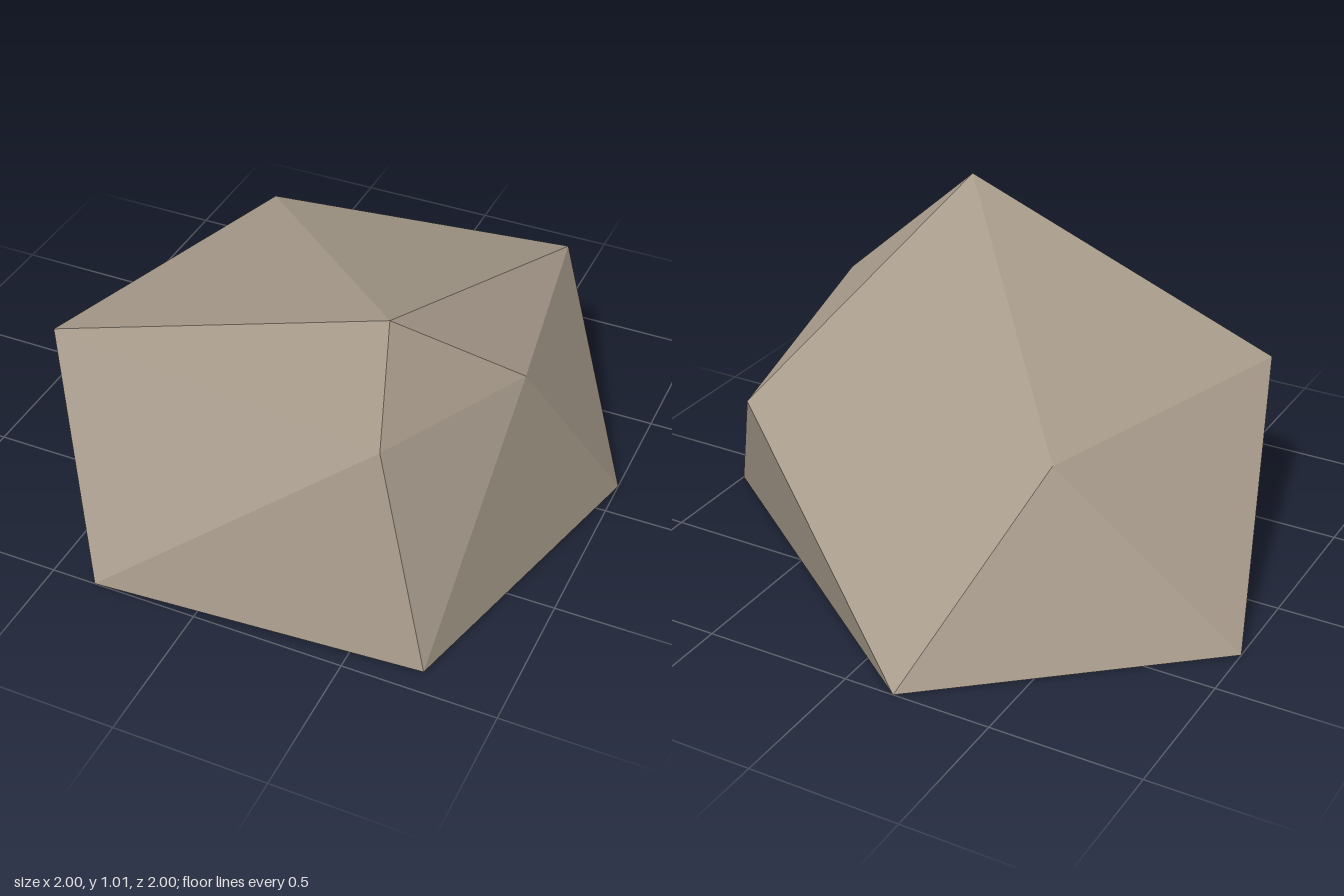
import * as THREE from 'three';

// Corners of the boulder: a ring on the ground and the raised corners
const corners = {
  // ground ring
  A: [-1.0, 0, -0.3], B: [-0.17, 0, -1.0], C: [1.0, 0, -0.135], D: [0.735, 0, 0.92], E: [-0.35, 0, 1.0],
  // shoulders
  P: [-0.71, 0.59, 0.56], R: [0.535, 0.7, 0.815], S: [0.79, 0.7, 0.3], T: [0.63, 0.595, -0.57],
  // peak and back crown
  Q: [0.47, 1.01, 0.605], U: [-0.415, 0.585, -0.455],
};

// Facets, each counterclockwise seen from outside
const crown = ['UPQ', 'UQT', 'UTB', 'UBA', 'UAP'];
const sides = ['PRQ', 'PER', 'EDR', 'PAE', 'QRS', 'QST', 'RDS', 'SDC', 'SCT', 'TCB'];
const base = ['ABC', 'ACD', 'ADE'];

function facetMesh(name, facets, material) {
  const positions = facets.flatMap((f) => [...f].flatMap((k) => corners[k]));
  const geometry = new THREE.BufferGeometry();
  geometry.setAttribute('position', new THREE.Float32BufferAttribute(positions, 3));
  geometry.computeVertexNormals(); // unshared corners give flat facets
  const mesh = new THREE.Mesh(geometry, material);
  mesh.name = name;
  return mesh;
}

function flatMaterial(name, color) {
  const material = new THREE.MeshStandardMaterial({ color, flatShading: true });
  material.name = name;
  return material;
}

export function createModel() {
  const stone = flatMaterial('stone', 0xa89c8c);
  const darkEarth = flatMaterial('dark earth', 0x4a4033);

  const group = new THREE.Group();
  group.name = 'rock';
  group.add(
    facetMesh('boulder', [...crown, ...sides], stone),
    facetMesh('underside', base, darkEarth),
  );
  return group;
}
